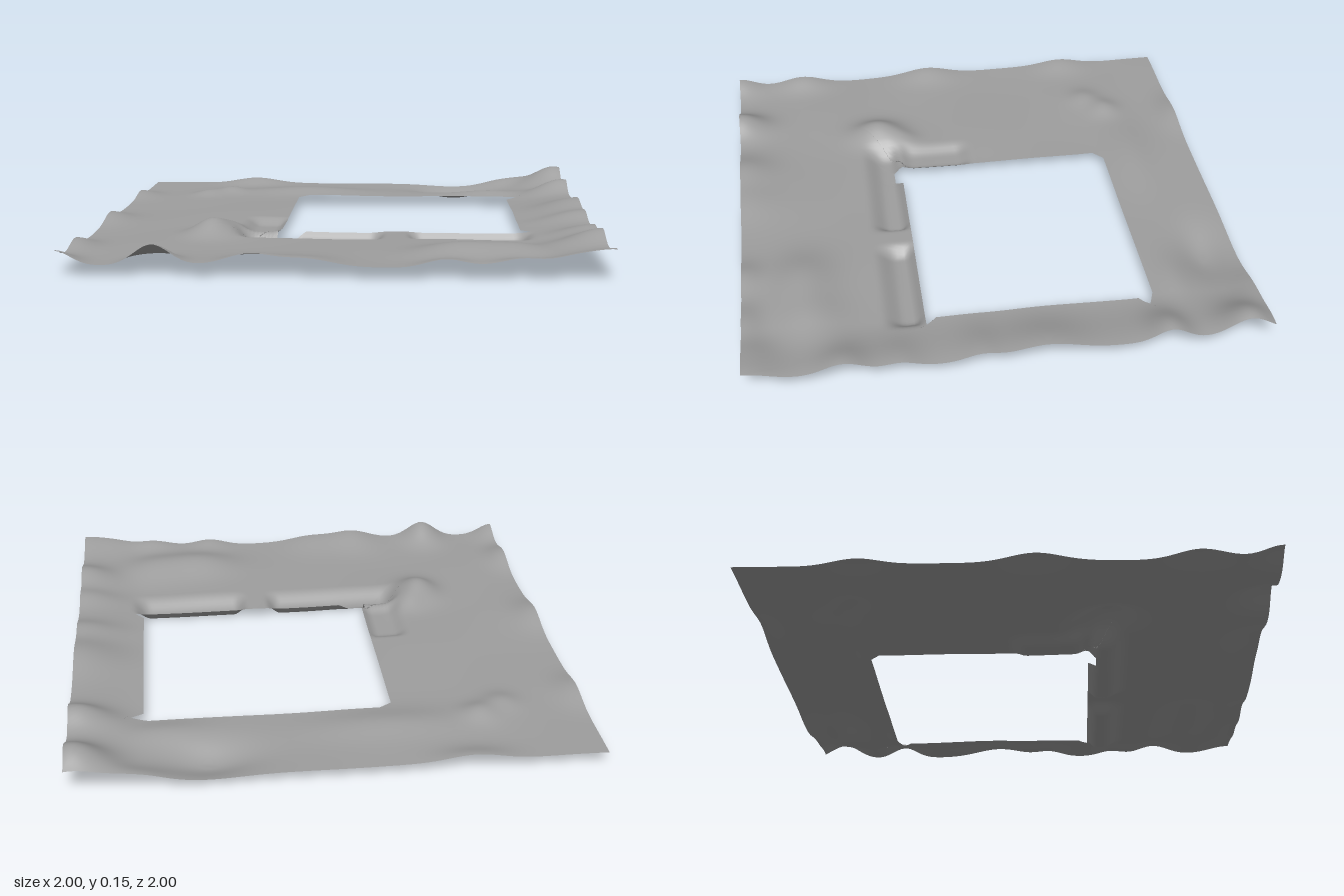
import * as THREE from 'three';

// Mounds and hollows: x, z, radius x, radius z, height
const BUMPS = [
  // right side
  [0.97, -0.90, 0.13, 0.10, 0.075], [0.97, -0.60, 0.14, 0.08, 0.055],
  [1.00, -0.13, 0.20, 0.16, 0.045], [1.00, 0.12, 0.18, 0.08, 0.025],
  [1.00, 0.42, 0.16, 0.08, 0.025], [1.00, 0.63, 0.15, 0.10, 0.045],
  [1.00, 1.00, 0.12, 0.14, 0.04],
  // front
  [0.45, 0.76, 0.17, 0.13, 0.045], [0.68, 0.74, 0.14, 0.14, 0.035],
  [0.40, 1.00, 0.10, 0.08, 0.03], [0.68, 1.00, 0.12, 0.08, 0.035],
  [0.85, 1.00, 0.10, 0.12, 0.03], [-0.65, 1.00, 0.09, 0.12, 0.075],
  [-0.30, 1.00, 0.12, 0.14, 0.045], [-0.10, 1.00, 0.13, 0.14, 0.03],
  // left
  [-0.52, 0.38, 0.09, 0.11, 0.065], [-0.46, 0.27, 0.06, 0.07, 0.02],
  [-1.00, 1.00, 0.08, 0.10, 0.05], [-1.00, 0.70, 0.08, 0.12, 0.04],
  [-1.00, 0.10, 0.09, 0.13, 0.035], [-1.00, -0.55, 0.09, 0.12, 0.03],
  // back
  [-0.68, -0.61, 0.07, 0.07, 0.02], [-0.58, -0.68, 0.07, 0.07, 0.025],
  [-0.20, -0.72, 0.30, 0.10, 0.022], [0.65, -0.69, 0.17, 0.08, 0.02],
  [-0.50, -1.00, 0.14, 0.08, 0.03], [0.75, -1.00, 0.13, 0.08, 0.03],
  [0.48, -0.87, 0.17, 0.10, -0.045],
];

const smooth = (a, b, v) => THREE.MathUtils.smoothstep(v, a, b);
const band = (a, b, c, d, v) => smooth(a, b, v) * (1 - smooth(c, d, v));

function groundHeight(x, z) {
  let y = 0.044 + 0.003 * Math.sin(9 * x + 3 * z) * Math.cos(8 * z - 2 * x);
  // The narrow right side climbs towards its border
  y += 0.032 * smooth(0.72, 1, x);
  for (const [cx, cz, rx, rz, h] of BUMPS) {
    y += h * Math.exp(-(((x - cx) / rx) ** 2 + ((z - cz) / rz) ** 2));
  }
  // Two gutters along the front of the opening, with a bridge between them
  const along = band(-0.44, -0.35, 0.11, 0.18, x) + band(0.25, 0.32, 0.69, 0.77, x);
  y -= 0.046 * along * band(0.29, 0.34, 0.37, 0.47, z);
  // Shallow pocket at the left of the opening
  y -= 0.03 * band(-0.43, -0.36, -0.29, -0.24, x) * band(-0.03, 0.05, 0.24, 0.32, z);
  return Math.max(0, y);
}

// Outline of the opening and its matching outer border: inner x, z, outer x, z
const OUTLINE = [
  [-0.25, -0.56, -1, -0.93], [-0.225, -0.58, -1, -1], [-0.20, -0.60, -0.9, -1],
  [0.70, -0.60, 0.75, -1], [0.78, -0.57, 1, -1], [0.72, -0.54, 1, -0.7],
  [0.72, 0.26, 1, 0.5], [0.78, 0.30, 1, 1], [-0.15, 0.30, -0.6, 1],
  [-0.20, 0.33, -0.75, 1], [-0.265, 0.33, -1, 1], [-0.265, 0.26, -1, 0.8],
  [-0.25, 0.26, -1, 0.77],
];

function groundGeometry(rows = 50) {
  const loop = [];
  OUTLINE.forEach((a, k) => {
    const b = OUTLINE[(k + 1) % OUTLINE.length];
    const n = Math.max(2, Math.ceil(Math.hypot(b[2] - a[2], b[3] - a[3]) / 0.02));
    for (let i = 0; i < n; i++) loop.push(a.map((v, c) => v + (b[c] - v) * i / n));
  });
  const position = [], index = [], w = rows + 1;
  loop.forEach(([ix, iz, ox, oz], i) => {
    const next = (i + 1) % loop.length;
    for (let j = 0; j <= rows; j++) {
      const t = j / rows, x = ix + (ox - ix) * t, z = iz + (oz - iz) * t;
      position.push(x, groundHeight(x, z), z);
      if (j === rows) continue;
      const a = i * w + j, b = next * w + j;
      index.push(a, b, a + 1, b, b + 1, a + 1);
    }
  });
  const geometry = new THREE.BufferGeometry();
  geometry.setAttribute('position', new THREE.Float32BufferAttribute(position, 3));
  geometry.setIndex(index);
  geometry.computeVertexNormals();
  return geometry;
}

export function createModel() {
  const group = new THREE.Group();
  group.name = 'terrain';
  // Thin uneven ground sheet with a rectangular opening
  const ground = new THREE.Mesh(
    groundGeometry(),
    new THREE.MeshStandardMaterial({ color: 0x9e9e9e, side: THREE.DoubleSide }),
  );
  ground.name = 'groundSheet';
  group.add(ground);
  return group;
}
